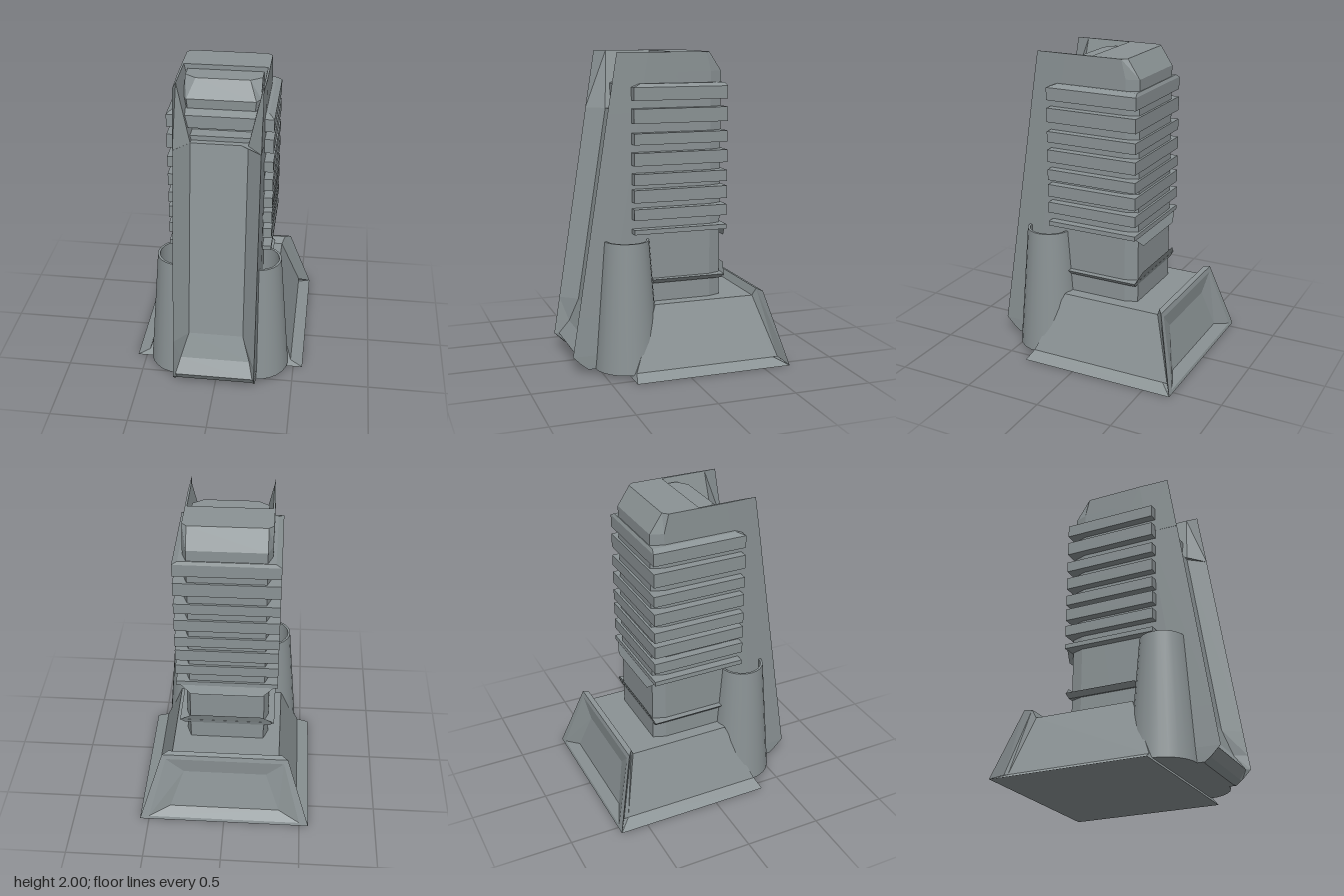
import * as THREE from 'three';

const grey = new THREE.MeshStandardMaterial({ color: 0x8a9294, side: THREE.DoubleSide });
grey.name = 'grey';

// flat-shaded mesh from a list of polygons, each fanned from its first corner
function faces(name, polys) {
  const pos = [];
  for (const p of polys)
    for (let i = 1; i < p.length - 1; i++) pos.push(...p[0], ...p[i], ...p[i + 1]);
  const g = new THREE.BufferGeometry();
  g.setAttribute('position', new THREE.Float32BufferAttribute(pos, 3));
  g.computeVertexNormals();
  const m = new THREE.Mesh(g, grey);
  m.name = name;
  return m;
}

// horizontal ring from its +x half, given back to front as [x, z]
function ring(y, half) {
  const mirror = half.filter(p => p[0] > 0).reverse().map(([x, z]) => [-x, z]);
  return [...half, ...mirror].map(([x, z]) => [x, y, z]);
}

// closed solid through rings of equal length
function loft(name, rings) {
  const polys = [rings[0], [...rings[rings.length - 1]].reverse()];
  for (let k = 0; k < rings.length - 1; k++) {
    const a = rings[k], b = rings[k + 1], n = a.length;
    for (let i = 0; i < n; i++) {
      const j = (i + 1) % n;
      polys.push([a[i], b[i], b[j], a[j]]);
    }
  }
  return faces(name, polys);
}

const rect = (y, x, back, front) => ring(y, [[x, back], [x, front]]);
const flip = ([x, y, z]) => [-x, y, z];

export function createModel() {
  const model = new THREE.Group();
  model.name = 'tower';

  // sloping foot with inset side panels
  model.add(loft('foot', [
    rect(0, 0.56, -0.68, 0.35), rect(0.04, 0.48, -0.6, 0.33), rect(0.43, 0.35, -0.5, 0.165),
  ]));

  // raised rear frame of the foot, with a bevelled recess
  const outer = [[0.56, 0, -0.68], [0.41, 0.47, -0.55]];
  const rim = [[0.5, 0.02, -0.674], [0.385, 0.44, -0.558]];
  const inset = [[0.36, 0.07, -0.615], [0.27, 0.33, -0.55]];
  const lip = [0.37, 0.48, -0.52], lipFoot = [0.35, 0.43, -0.5];
  const barFoot = [0.48, 0.04, -0.63], coreFoot = [0.48, 0.04, -0.6];
  const frame = [];
  for (const [a, b] of [[outer, rim], [rim, inset]]) {
    frame.push([a[0], flip(a[0]), flip(b[0]), b[0]]);
    frame.push([a[1], b[1], flip(b[1]), flip(a[1])]);
    const side = [a[0], b[0], b[1], a[1]];
    frame.push(side, side.map(flip).reverse());
  }
  frame.push([inset[0], flip(inset[0]), flip(inset[1]), inset[1]]);
  frame.push([outer[1], flip(outer[1]), flip(lip), lip], [lip, flip(lip), flip(lipFoot), lipFoot]);
  for (const s of [[outer[0], outer[1], lip, barFoot], [barFoot, lip, lipFoot, coreFoot]])
    frame.push(s, s.map(flip).reverse());
  model.add(faces('rearFrame', frame));

  // tower core with chamfered back corners and roof
  const body = [[0.24, -0.31], [0.27, -0.23], [0.27, 0]];
  model.add(loft('core', [
    ring(0.4, body), ring(1.88, body), ring(2, [[0.24, -0.23], [0.27, -0.2], [0.27, 0]]),
  ]));

  // leaning front column with a bevelled trough: y, edge z, trough half width, trough z
  const levels = [
    [0.02, 0.58, 0.24, 0.57], [0.05, 0.62, 0.245, 0.61], [0.11, 0.68, 0.25, 0.65],
    [0.2, 0.665, 0.223, 0.585], [0.36, 0.64, 0.175, 0.53], [1.63, 0.44, 0.175, 0.33],
  ];
  model.add(loft('frontColumn', levels.map(([y, edge, w, z]) =>
    ring(y, [[0, -0.02], [0.27, -0.02], [0.27, edge - 0.2], [0.262, edge], [w, z]]))));

  // side walls standing above the trough
  for (const s of [1, -1]) {
    const wall = (y, edge, w, z) =>
      [[w, -0.01], [0.27, -0.01], [0.27, edge - 0.2], [0.264, edge], [w, z]].map(([x, q]) => [s * x, y, q]);
    model.add(loft('sideWall', [wall(1.63, 0.44, 0.175, 0.33), wall(2, 0.38, 0.258, 0.3)]));
  }

  // chamfered head block between the walls, over an undercut neck
  const head = (y, w, z) => ring(y, [[0.235, -0.02], [0.235, z - 0.05], [w, z]]);
  model.add(loft('headBlock', [
    head(1.62, 0.2, 0.29), head(1.65, 0.2, 0.28), head(1.66, 0.2, 0.2), head(1.72, 0.2, 0.195),
    head(1.76, 0.2, 0.225), head(1.87, 0.21, 0.23), head(1.97, 0.165, 0.14),
  ]));

  // stacked cooling fins
  const fins = [[0.88, 0.91], [0.97, 1.04], [1.08, 1.16], [1.19, 1.26], [1.31, 1.39], [1.44, 1.51], [1.57, 1.66]];
  for (const [lo, hi] of fins)
    model.add(loft('fin', [rect(lo, 0.325, -0.325, 0.29), rect(hi, 0.325, -0.325, 0.29)]));
  model.add(loft('topFin', [
    rect(1.71, 0.325, -0.325, 0.29), rect(1.79, 0.325, -0.325, 0.29), rect(1.81, 0.29, -0.315, 0.24),
  ]));

  // waist collar plate
  model.add(loft('collar', [rect(0.55, 0.28, -0.31, 0.16), rect(0.58, 0.31, -0.32, 0.16)]));

  // flared flaps facing each other across the waist
  for (const [y0, y1] of [[0.57, 0.64], [0.89, 0.82]]) {
    const a = [0.315, y0, -0.315], b = [0.23, y1, -0.342], c = [0.23, y0, -0.315];
    model.add(faces('rearFlap', [[a, flip(a), flip(b), b], [a, b, c], [a, b, c].map(flip)]));
  }

  // hollow tapered pods beside the column
  const profile = [[0, 0.02], [0.21, 0.02], [0.145, 0.84], [0.13, 0.84], [0.135, 0.66], [0, 0.66]];
  for (const s of [1, -1]) {
    // each section has its own points so edges stay sharp
    const pod = new THREE.Group();
    pod.name = 'sidePod';
    for (let i = 0; i < profile.length - 1; i++) {
      const pts = [profile[i], profile[i + 1]].map(p => new THREE.Vector2(...p));
      const part = new THREE.Mesh(new THREE.LatheGeometry(pts, 24), grey);
      part.name = ['podBase', 'podShell', 'podRim', 'podBore', 'podFloor'][i];
      pod.add(part);
    }
    pod.position.set(s * 0.252, 0, 0.325);
    model.add(pod);
  }
  return model;
}
